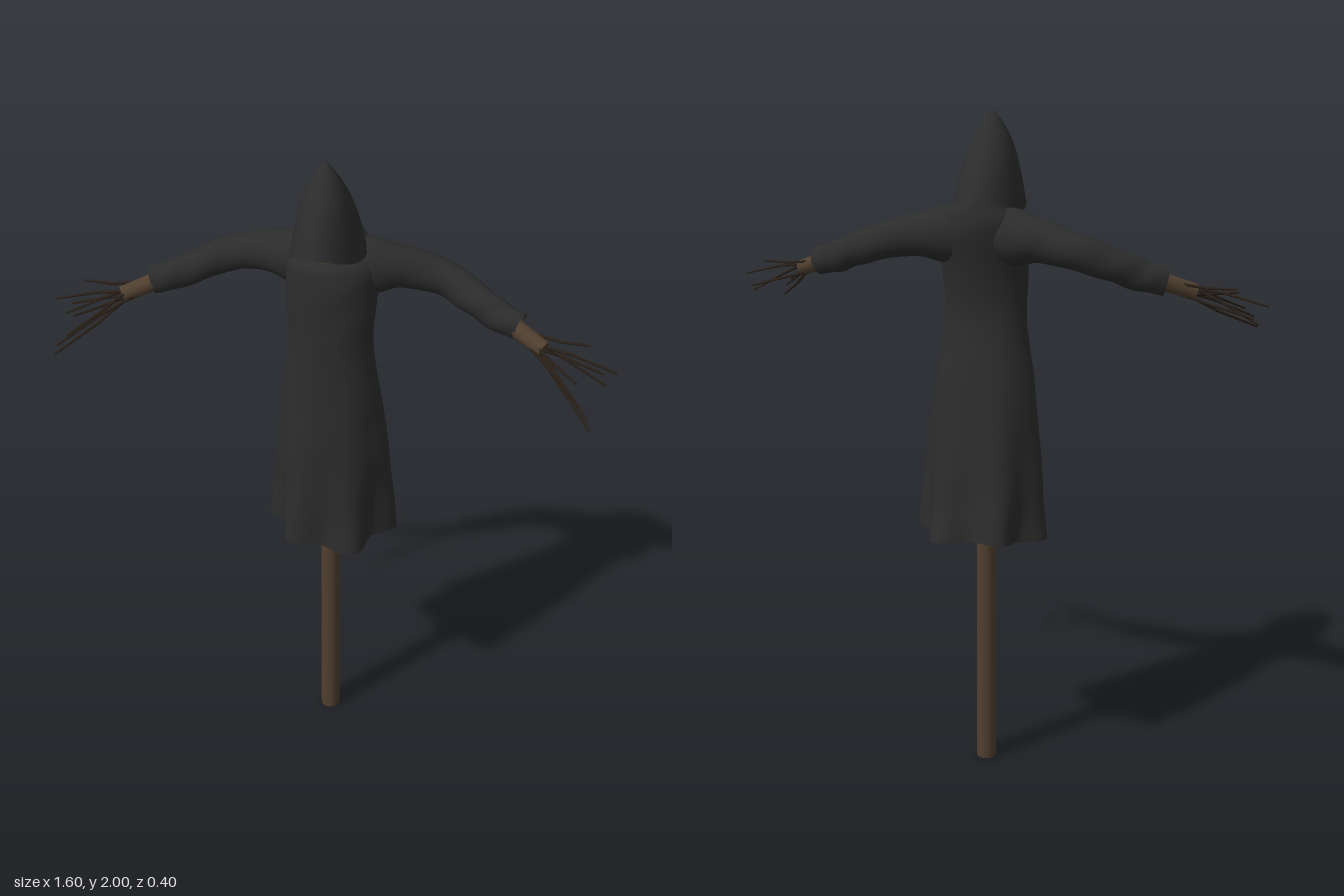
import * as THREE from 'three';

const cloth = new THREE.MeshStandardMaterial({ color: 0x2c2c2c, side: THREE.DoubleSide });
cloth.name = 'charcoal cloth';
const wood = new THREE.MeshStandardMaterial({ color: 0x4f3f2f });
wood.name = 'brown wood';
const bark = new THREE.MeshStandardMaterial({ color: 0x2a2119 });
bark.name = 'dark twig bark';

const V = (x, y, z) => new THREE.Vector3(x, y, z);
const smooth = (pts) => new THREE.CatmullRomCurve3(pts, false, 'catmullrom', 0.5);

function add(parent, name, geometry, material) {
  const mesh = new THREE.Mesh(geometry, material);
  mesh.name = name;
  parent.add(mesh);
  return mesh;
}

// Open tube surface: point(t, angle) gives each vertex, the seam is shared
function tubeSurface(rows, cols, point) {
  const pos = [], idx = [];
  for (let i = 0; i <= rows; i++) {
    for (let j = 0; j < cols; j++) pos.push(...point(i / rows, (j / cols) * Math.PI * 2).toArray());
  }
  for (let i = 0; i < rows; i++) {
    for (let j = 0; j < cols; j++) {
      const a = i * cols + j, b = i * cols + (j + 1) % cols;
      idx.push(a, a + cols, b, b, a + cols, b + cols);
    }
  }
  const g = new THREE.BufferGeometry();
  g.setAttribute('position', new THREE.Float32BufferAttribute(pos, 3));
  g.setIndex(idx);
  g.computeVertexNormals();
  return g;
}

// Tilted rings: [front z, front y, back z, back y, half width, side drop, fold depth]
function drape(rings, rows, cols, wrinkle) {
  const front = smooth(rings.map((r) => V(0, r[1], r[0])));
  const back = smooth(rings.map((r) => V(0, r[3], r[2])));
  const side = smooth(rings.map((r) => V(r[4], r[5], r[6])));
  return tubeSurface(rows, cols, (t, a) => {
    const f = front.getPoint(t), b = back.getPoint(t), s = side.getPoint(t);
    const k = 1 + s.z * Math.cos(6 * a) + wrinkle * Math.sin(3 * a + 19 * t) * Math.sin(14 * t);
    const p = f.clone().add(b).multiplyScalar(0.5);
    p.addScaledVector(f.sub(b), 0.5 * Math.sin(a) * k);
    p.x = s.x * Math.cos(a) * k;
    p.y += -s.y * Math.cos(a) ** 2 + s.z * 0.05 * Math.sin(3 * a + 1);
    return p;
  });
}

// Straight round stick between two points
function stick(from, to, r0, r1, sides) {
  const dir = to.clone().sub(from);
  const g = new THREE.CylinderGeometry(r1, r0, dir.length(), sides);
  g.applyQuaternion(new THREE.Quaternion().setFromUnitVectors(V(0, 1, 0), dir.normalize()));
  const mid = from.clone().add(to).multiplyScalar(0.5);
  return g.translate(mid.x, mid.y, mid.z);
}

function buildArm(side) {
  const arm = new THREE.Group();
  arm.name = side > 0 ? 'leftArm' : 'rightArm';
  const at = (x, y, z) => V(x * side, y, z);

  // Sleeve, wide at the shoulder and open at the cuff
  const path = smooth([
    at(0.04, 1.665, -0.05), at(0.11, 1.662, -0.065), at(0.19, 1.658, -0.083), at(0.3, 1.633, -0.093),
    at(0.39, 1.6, -0.062), at(0.46, 1.572, -0.035), at(0.525, 1.556, -0.014),
  ]);
  const radii = smooth([
    [0.08, 0.07], [0.08, 0.07], [0.06, 0.056], [0.051, 0.046], [0.047, 0.044], [0.045, 0.038], [0.04, 0.034],
  ].map(([up, across]) => V(up, across, 0)));
  add(arm, 'sleeve', tubeSurface(32, 20, (t, a) => {
    const p = path.getPoint(t), r = radii.getPoint(t), d = path.getTangent(t);
    const across = V(0, 1, 0).cross(d).normalize();
    const up = d.clone().cross(across);
    const k = 1 + 0.05 * t * Math.sin(2 * a + 30 * t);
    return p.addScaledVector(up, r.x * k * Math.sin(a)).addScaledVector(across, r.y * k * Math.cos(a));
  }), cloth);

  // Wooden forearm
  add(arm, 'forearm', stick(at(0.42, 1.59, -0.055), at(0.598, 1.522, 0.03), 0.026, 0.024, 12), wood);

  // Twig fingers: start, bend and tip
  const tips = [
    [0.8, 1.49, 0.05], [0.72, 1.54, 0.01], [0.765, 1.46, 0.015], [0.775, 1.44, 0.04],
    [0.75, 1.4, 0.2], [0.74, 1.43, 0.195], [0.715, 1.455, 0.18], [0.7, 1.505, 0.15],
  ];
  const fingers = new THREE.Group();
  fingers.name = 'twigFingers';
  arm.add(fingers);
  tips.forEach(([x, y, z], i) => {
    const c = i * 2.4;
    const start = at(0.555, 1.537 + 0.018 * Math.sin(c), 0.01 + 0.018 * Math.cos(c));
    const tip = at(x, y, z);
    const bend = start.clone().lerp(tip, 0.5).add(V(0, 0.008 * Math.cos(c), 0.006 * Math.sin(c)));
    add(fingers, 'twig', stick(start, bend, 0.0048, 0.0042, 6), bark);
    add(fingers, 'twig', stick(bend, tip, 0.0042, 0.003, 6), bark);
  });
  return arm;
}

export function createModel() {
  const model = new THREE.Group();
  model.name = 'hoodedScarecrow';

  // Upright pole
  add(model, 'pole', stick(V(0, 0, -0.01), V(0, 1.775, -0.01), 0.03, 0.027, 20), wood);

  // Robe from the fluted hem to the neckline
  add(model, 'robe', drape([
    [0.11, 0.768, -0.2, 0.782, 0.177, 0, 0.14],
    [0.1, 0.9, -0.178, 0.9, 0.174, 0, 0.08],
    [0.093, 1.06, -0.155, 1.06, 0.166, 0, 0.035],
    [0.08, 1.24, -0.128, 1.24, 0.147, 0, 0.015],
    [0.07, 1.42, -0.098, 1.42, 0.122, 0, 0],
    [0.069, 1.54, -0.11, 1.55, 0.126, 0, 0],
    [0.068, 1.63, -0.14, 1.66, 0.13, 0, 0],
    [0.06, 1.68, -0.144, 1.72, 0.12, 0, 0],
    [0.042, 1.705, -0.132, 1.765, 0.085, 0, 0],
  ], 48, 72, 0.012), cloth);

  // Peaked hood, open downward at the front
  add(model, 'hood', drape([
    [0.042, 2.0, 0.038, 2.0, 0.002, 0, 0],
    [0.07, 1.97, 0.012, 1.965, 0.03, 0, 0],
    [0.113, 1.91, -0.04, 1.9, 0.061, 0, 0],
    [0.142, 1.845, -0.09, 1.83, 0.083, 0.012, 0],
    [0.165, 1.778, -0.136, 1.745, 0.101, 0.035, 0],
  ], 24, 40, 0), cloth);

  for (const side of [1, -1]) model.add(buildArm(side));
  return model;
}
